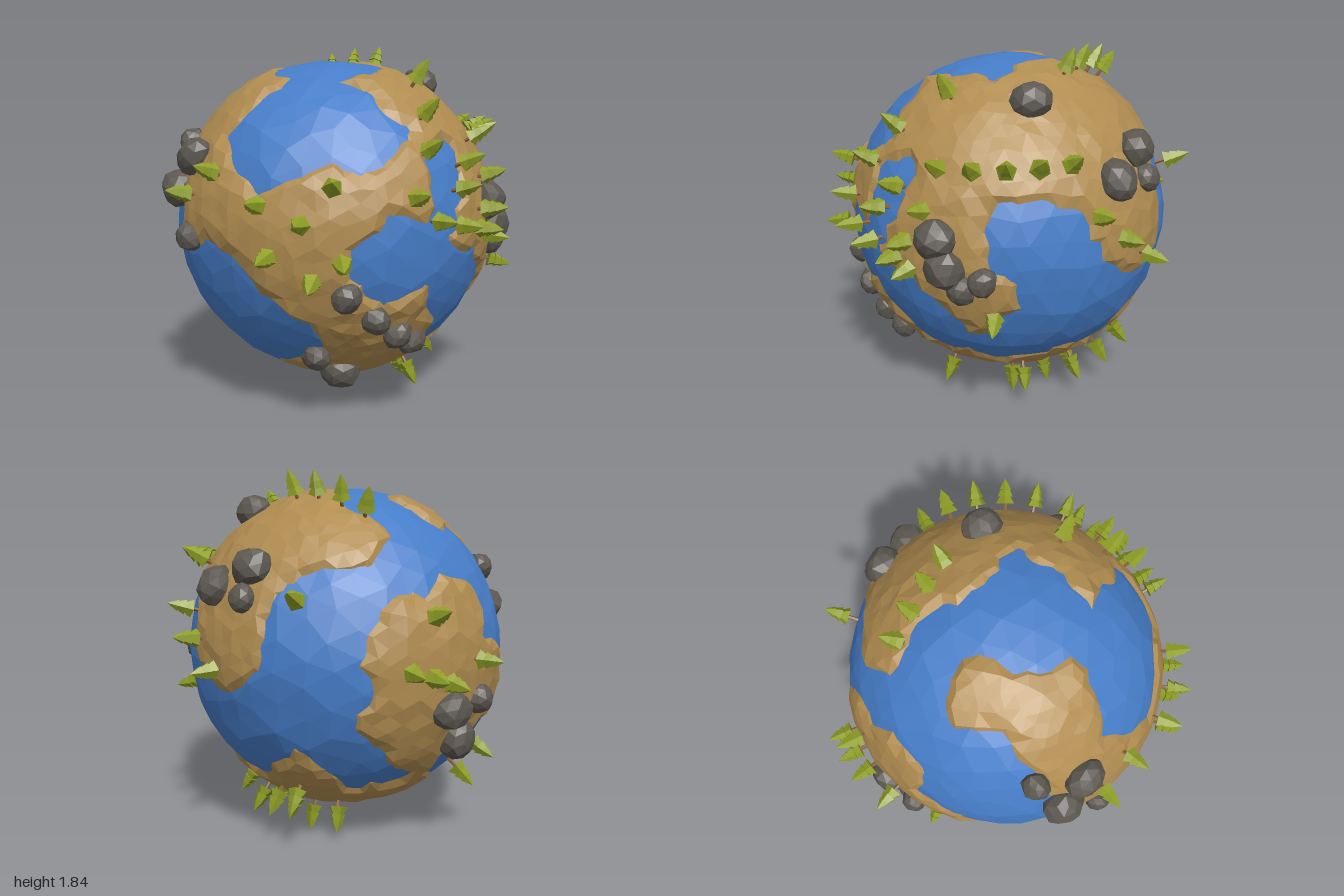
import * as THREE from 'three';
import { mergeGeometries, mergeVertices } from 'three/addons/utils/BufferGeometryUtils.js';

const CENTER = new THREE.Vector3(-0.03, 0.99, -0.02);
const R = 0.822;
const UP = new THREE.Vector3(0, 1, 0);

const paint = (color) => new THREE.MeshStandardMaterial({ color, flatShading: true });
const waterMat = paint(0x467dc8);
const landMat = paint(0xb08c50);
const rockMat = paint(0x5c5750);
const leafMat = paint(0x8f9e26);
const trunkMat = paint(0x8a6238);

// Small seeded random, 0..1
let seed = 7;
const rand = () => {
  seed = (seed * 16807) % 2147483647;
  return seed / 2147483647;
};
const jitter = (a) => (rand() * 2 - 1) * a;

// A side of the globe: the basis seen when facing it from an azimuth and elevation
function side(azimuth, elevation) {
  const a = THREE.MathUtils.degToRad(azimuth), e = THREE.MathUtils.degToRad(elevation);
  const out = new THREE.Vector3(Math.sin(a) * Math.cos(e), Math.sin(e), Math.cos(a) * Math.cos(e));
  const right = new THREE.Vector3(Math.cos(a), 0, -Math.sin(a));
  return { out, right, up: out.clone().cross(right) };
}
const front = side(0, 0), left = side(90, 0), top = side(0, 90);
const back = side(215, 25), under = side(145, -25);

// Directions from the globe's centre for offsets (in hundredths) across a side
const spots = (s, radius, list) => list.map(([u, v]) => {
  const w = Math.sqrt(Math.max(0, radius * radius - (u * u + v * v) / 1e4));
  return new THREE.Vector3().addScaledVector(s.right, u / 100)
    .addScaledVector(s.up, v / 100).addScaledVector(s.out, w).normalize();
});
// A row of n evenly spaced spots
const row = (s, radius, [u0, v0], [u1, v1], n) => spots(s, radius, Array.from({ length: n }, (_, i) => {
  const t = i / (n - 1);
  return [u0 + (u1 - u0) * t, v0 + (v1 - v0) * t];
}));

// Inland points and open-water points: the coast runs midway between them
const land = [
  ...spots(front, R, [[-60, 20], [-38, 6], [-8, 15], [-19, -24], [5, -44], [0, -66], [26, -40], [31, 62], [27, 27], [62, 12]]),
  ...spots(left, R, [[15, 74], [-27, 45], [8, 42], [40, 38], [53, 4], [-38, 2], [-20, -22], [-10, -68]]),
  ...spots(top, R, [[0, 58], [30, 10], [30, -28], [-37, 16], [-55, -12]]),
  ...spots(back, R, [[-30, -14], [5, -8], [-3, -42], [28, -42], [-38, 38], [-30, -58]]),
  ...spots(under, R, [[10, -28], [-20, -46], [22, -54]]),
];
const sea = [
  ...spots(front, R, [[-21, 52], [5, 50], [-42, 38], [16, -6], [42, 24], [48, -30], [-60, -28], [-35, -48]]),
  ...spots(left, R, [[2, 14], [15, -10], [-5, -28], [-45, -38], [40, -40], [65, -22]]),
  ...spots(top, R, [[-48, 43], [-20, 36], [-8, 0], [11, -12], [-66, 20]]),
  ...spots(back, R, [[7, 27], [38, 25], [-20, 17], [-45, 2], [36, -6], [58, -25], [45, -62], [-60, -36]]),
  ...spots(under, R, [[-34, 10], [-15, -10], [28, 28], [40, -14], [-58, -32], [20, -76]]),
];

// Rows of trees, then single ones
const T = 0.92;
const trees = [
  ...row(front, T, [38, 76], [35, 43], 3),
  ...row(front, T, [39, 10], [65, 3], 3),
  ...row(left, T, [-43, 47], [19, 49], 5),
  ...row(left, T, [32, 25], [60, -2], 3),
  ...row(top, T, [-6, 52], [28, 25], 4),
  ...row(back, T, [-31, -36], [-10, -44], 3),
  ...row(under, T, [9, -34], [-21, -47], 3),
  ...row(under, T, [-31, -69], [18, -58], 4),
  ...spots(front, T, [[-80, 20], [-67, 32], [-47, 19], [-13, 28], [-28, 11], [-43, -5], [-23, -16], [-9, -7],
    [27, 22], [53, 24], [57, 36], [71, 28]]),
  ...spots(left, T, [[-60, 12], [-59, -2], [-19, -24]]),
  ...spots(back, T, [[-17, -13], [11, -36], [-70, 10]]),
  ...spots(under, T, [[-43, -55], [-49, -74], [69, -55], [80, -40]]),
];

const boulders = [
  ...spots(front, 0.86, [[-3, -73], [-82, 19], [-73, 36]]),
  ...spots(left, 0.86, [[-44, 14], [-40, 1], [4, 71], [42, 36], [55, 46]]),
  ...spots(back, 0.86, [[-4, -54], [7, -67]]),
];
const stones = [
  ...spots(front, 0.86, [[-6, -24], [9, -37], [21, -47], [30, -53], [-17, -60], [-77, -2]]),
  ...spots(left, 0.86, [[-24, -4], [-33, -9], [60, 32]]),
  ...spots(back, 0.86, [[64, 21], [17, -51]]),
];

// Faceted ball whose corners are moved by a rule
function facetedBall(detail, move) {
  const ball = new THREE.IcosahedronGeometry(1, detail);
  ball.deleteAttribute('uv');
  ball.deleteAttribute('normal');
  const g = mergeVertices(ball), pos = g.attributes.position, p = new THREE.Vector3();
  for (let i = 0; i < pos.count; i++) {
    move(p.fromBufferAttribute(pos, i));
    pos.setXYZ(i, p.x, p.y, p.z);
  }
  const flat = g.toNonIndexed();
  flat.computeVertexNormals();
  return flat;
}
const scatter = (p, a) => p.set(p.x + jitter(a), p.y + jitter(a), p.z + jitter(a)).normalize();
const nearest = (p, list) => Math.min(...list.map((q) => p.distanceTo(q)));

function mesh(name, geometry, material) {
  const m = new THREE.Mesh(geometry, material);
  m.name = name;
  return m;
}

// Stand an object on the globe, pointing outward with a random turn
function plant(object, dir, radius) {
  object.position.copy(dir).multiplyScalar(radius);
  object.quaternion.setFromUnitVectors(UP, dir);
  object.rotateY(rand() * Math.PI * 2);
  return object;
}

// Tiered conifer growing along +y from the ground
const trunkGeo = new THREE.CylinderGeometry(0.008, 0.011, 0.08, 5).translate(0, 0.03, 0);
const leafGeo = mergeGeometries([0, 1, 2].map((i) => new THREE.CylinderGeometry(
  i === 2 ? 0 : 0.015, 0.05 - i * 0.0095, 0.057, 5).translate(0, 0.074 + i * 0.036, 0)));

function makeTree(dir) {
  const tree = new THREE.Group();
  tree.name = 'tree';
  tree.add(mesh('trunk', trunkGeo, trunkMat), mesh('leaves', leafGeo, leafMat));
  tree.scale.setScalar(0.98 + jitter(0.04));
  return plant(tree, dir, R + 0.004);
}

// Faceted rock half sunk in the ground
function makeRock(dir, size) {
  const rock = mesh('rock', facetedBall(1, (p) => p.multiplyScalar(1 + jitter(0.08))), rockMat);
  rock.scale.set(1.05, 0.9, 0.95).multiplyScalar(size);
  return plant(rock, dir, R + 0.023);
}

export function createModel() {
  seed = 7;
  const globe = new THREE.Group();
  globe.name = 'globe';
  globe.position.copy(CENTER);

  // Ocean shell, and a land shell that rises through it near the inland points
  globe.add(mesh('ocean', facetedBall(6, (p) => scatter(p, 0.03).multiplyScalar(R + jitter(0.006))), waterMat));
  globe.add(mesh('land', facetedBall(12, (p) => {
    scatter(p, 0.018);
    const shore = nearest(p, sea) - nearest(p, land) + jitter(0.05);
    p.multiplyScalar(R + THREE.MathUtils.clamp(shore * 0.3, -0.035, 0.018) + jitter(0.006));
  }), landMat));

  trees.forEach((dir) => globe.add(makeTree(dir)));
  boulders.forEach((dir) => globe.add(makeRock(dir, 0.1)));
  stones.forEach((dir) => globe.add(makeRock(dir, 0.072)));

  const model = new THREE.Group();
  model.name = 'lowPolyPlanet';
  model.add(globe);
  return model;
}
